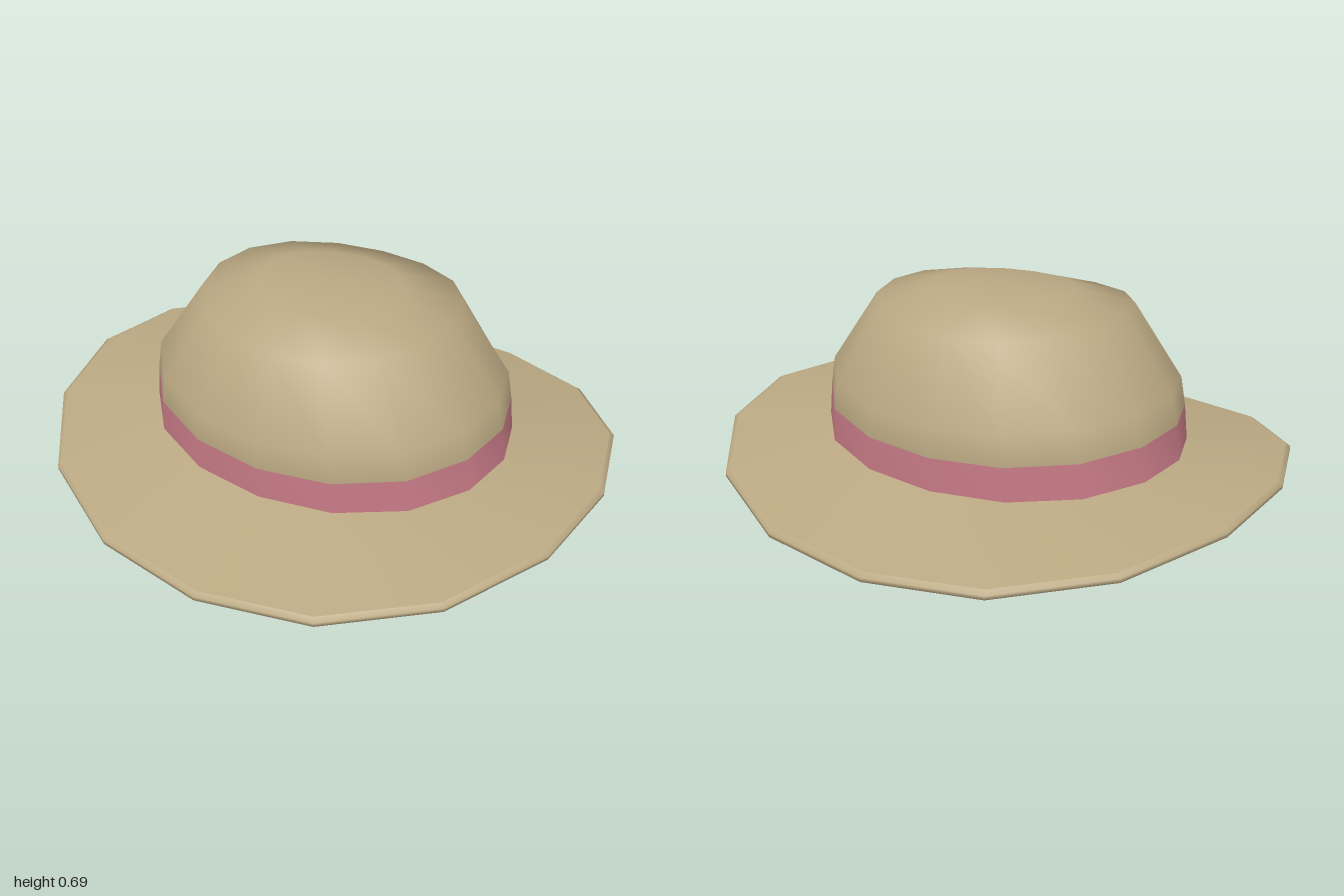
import * as THREE from 'three';
import { mergeVertices } from 'three/addons/utils/BufferGeometryUtils.js';

const SIDES = 16;
const felt = new THREE.MeshStandardMaterial({ color: 0xbaa882 });
const ribbon = new THREE.MeshStandardMaterial({ color: 0xc97c88 });

// Oval lathe: each ring is [half width, half depth, height]; the whole hat droops to front and back
function ovalSurface(name, rings, material) {
  let geo = new THREE.LatheGeometry(rings.map(([rx, , y]) => new THREE.Vector2(rx, y)), SIDES);
  const pos = geo.attributes.position;
  for (let i = 0; i < pos.count; i++) {
    const [rx, rz, y] = rings[i % rings.length];
    const a = (Math.floor(i / rings.length) / SIDES) * Math.PI * 2;
    const bulge = 1 + 0.02 * Math.sin(2 * a) ** 2;
    const x = rx * bulge * Math.sin(a);
    const z = rz * bulge * Math.cos(a);
    pos.setXYZ(i, x, y - 0.18 * z * z, z);
  }
  // weld the seam so shading stays smooth
  geo.deleteAttribute('normal');
  geo.deleteAttribute('uv');
  geo = mergeVertices(geo, 1e-4);
  geo.computeVertexNormals();
  const mesh = new THREE.Mesh(geo, material);
  mesh.name = name;
  return mesh;
}

export function createModel() {
  const hat = new THREE.Group();
  hat.name = 'hat';

  // Crown and ribbon, outside
  const crown = [
    [0.64, 0.51, 0.3], [0.62, 0.51, 0.4], [0.445, 0.4, 0.65], [0.25, 0.22, 0.69], [0, 0, 0.7],
  ];
  hat.add(ovalSurface('crown', crown, felt));
  hat.add(ovalSurface('hatBand', [[0.655, 0.505, 0.18], [0.64, 0.51, 0.3]], ribbon));

  // Crown and ribbon, inside (rings run downward so faces look inward)
  const lining = [
    [0, 0, 0.67], [0.24, 0.21, 0.66], [0.425, 0.38, 0.63], [0.592, 0.48, 0.395], [0.61, 0.48, 0.31],
  ];
  hat.add(ovalSurface('crownLining', lining, felt));
  hat.add(ovalSurface('bandLining', [[0.61, 0.48, 0.31], [0.625, 0.475, 0.2]], ribbon));
  hat.add(ovalSurface('openingEdge', [[0.625, 0.475, 0.2], [0.66, 0.51, 0.15]], felt));

  // Brim: underside, thin bevelled rim, top
  const under = [0.985, 0.885, 0.15];
  const upper = [0.985, 0.885, 0.18];
  hat.add(ovalSurface('brimUnderside', [[0.66, 0.51, 0.15], under], felt));
  hat.add(ovalSurface('brimRim', [under, [1, 0.9, 0.158], [1, 0.9, 0.172], upper], felt));
  hat.add(ovalSurface('brimTop', [upper, [0.655, 0.505, 0.18]], felt));

  return hat;
}
